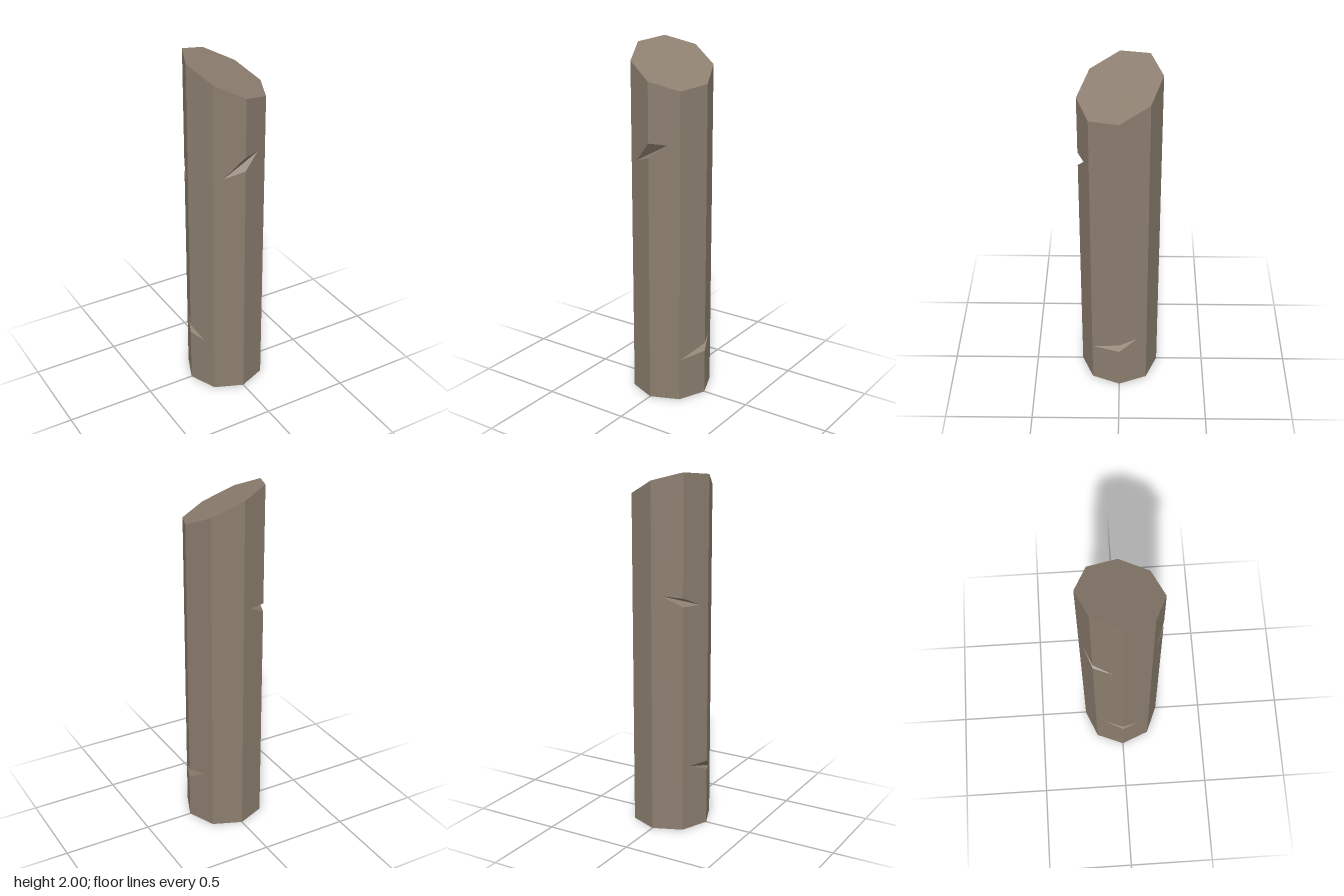
import * as THREE from 'three';

const SIDES = 8, RADIUS = 0.224;

// Axe cuts on the corner edges: top/bottom heights on the edge, and the two tips
// as [fraction across the neighbouring face, height].
const NOTCHES = {
  0: { top: 1.495, bottom: 1.415, prev: [0.70, 1.375], next: [0.60, 1.49] },
  2: { top: 0.31, bottom: 0.26, prev: [0.98, 0.245], next: [0.66, 0.325] },
  5: { top: 1.335, bottom: 1.288, prev: [0.68, 1.345], next: [0.70, 1.285] },
  6: { top: 0.375, bottom: 0.325, prev: [0.74, 0.373], next: [0.59, 0.31] },
};

const wrap = (k) => (k + SIDES) % SIDES;

function corner(k, y) {
  const a = (wrap(k) / SIDES) * Math.PI * 2;
  return new THREE.Vector3(Math.sin(a) * RADIUS, y, Math.cos(a) * RADIUS);
}

// Slanted cut at the top of the log
function topCorner(k) {
  const p = corner(k, 0);
  p.y = 1.89 - 0.4 * p.x - 0.29 * p.z;
  return p;
}

// Point on side face k, u from 0 to 1 across it
const onFace = (k, u, y) => corner(k, y).lerp(corner(k + 1, y), u);

function facets(points) {
  const g = new THREE.BufferGeometry().setFromPoints(points);
  g.computeVertexNormals();
  return g;
}

// One flat side, with the bites taken out of its two long edges
function sidePoints(k) {
  const a = NOTCHES[k], b = NOTCHES[wrap(k + 1)];
  const outline = [[0, 0], [1, 0]];
  if (b) outline.push([1, b.bottom], [1 - b.prev[0], b.prev[1]], [1, b.top]);
  outline.push([1, topCorner(k + 1).y], [0, topCorner(k).y]);
  if (a) outline.push([0, a.top], a.next, [0, a.bottom]);
  const flat = outline.map(([u, y]) => new THREE.Vector2(u, y));
  return THREE.ShapeUtils.triangulateShape(flat, []).flat()
    .map((i) => onFace(k, flat[i].x, flat[i].y));
}

// The two sloping faces inside a cut
function notchPoints(k, n) {
  const left = onFace(wrap(k - 1), 1 - n.prev[0], n.prev[1]);
  const right = onFace(k, n.next[0], n.next[1]);
  return [corner(k, n.top), left, right, corner(k, n.bottom), right, left];
}

export function createModel() {
  const group = new THREE.Group();
  group.name = 'logPost';
  const wood = new THREE.MeshStandardMaterial({ color: 0x8c7e6f });
  wood.name = 'weathered wood';
  const add = (name, points) => {
    const mesh = new THREE.Mesh(facets(points), wood);
    mesh.name = name;
    group.add(mesh);
  };

  // Trunk sides, slanted top and flat base
  const sides = [], top = [], base = [];
  for (let k = 0; k < SIDES; k++) {
    sides.push(...sidePoints(k));
    top.push(new THREE.Vector3(0, 1.89, 0), topCorner(k), topCorner(k + 1));
    base.push(new THREE.Vector3(), corner(k + 1, 0), corner(k, 0));
  }
  add('trunkSides', sides);
  add('slantedTop', top);
  add('base', base);

  // Axe cuts
  for (const [k, n] of Object.entries(NOTCHES)) add('notch', notchPoints(Number(k), n));
  return group;
}
